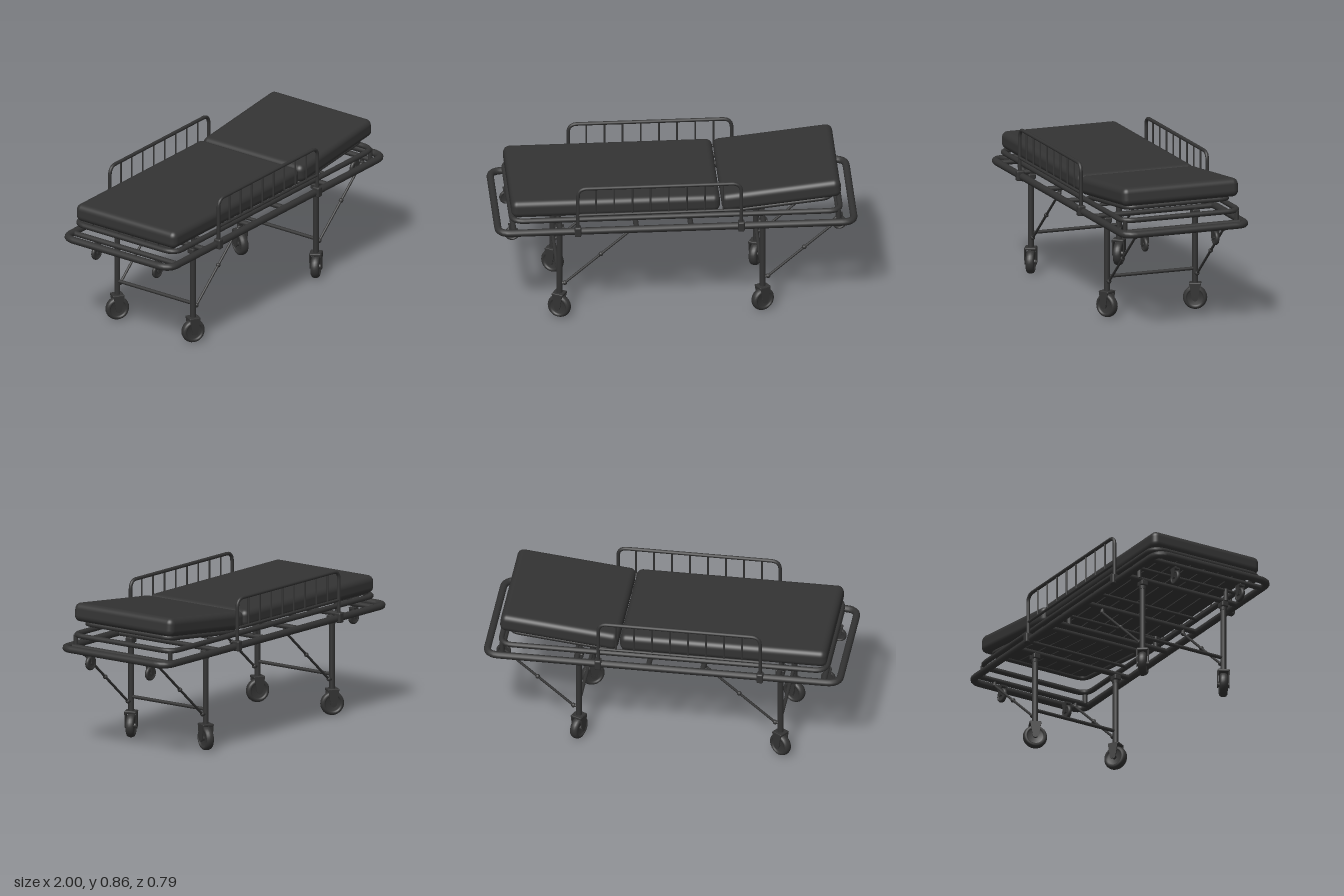
import * as THREE from 'three';
import { RoundedBoxGeometry } from 'three/addons/geometries/RoundedBoxGeometry.js';

const mat = new THREE.MeshStandardMaterial({ color: 0x333333 });
const V = (x, y, z) => new THREE.Vector3(x, y, z);

function add(parent, name, geometry, x = 0, y = 0, z = 0) {
  const m = new THREE.Mesh(geometry, mat);
  m.name = name;
  m.position.set(x, y, z);
  parent.add(m);
  return m;
}

function group(parent, name, x = 0, y = 0, z = 0) {
  const g = new THREE.Group();
  g.name = name;
  g.position.set(x, y, z);
  parent.add(g);
  return g;
}

// straight round bar between two points
function bar(parent, name, a, b, r) {
  const m = add(parent, name, new THREE.CylinderGeometry(r, r, a.distanceTo(b), 12));
  m.position.copy(a).lerp(b, 0.5);
  m.quaternion.setFromUnitVectors(V(0, 1, 0), b.clone().sub(a).normalize());
  return m;
}

// bent tube through corner points, each inner corner rounded by radius c
function bentTube(parent, name, pts, c, r, closed, segments) {
  const path = new THREE.CurvePath();
  const n = pts.length;
  const toward = (a, b) => a.clone().add(b.clone().sub(a).setLength(c));
  let last = closed ? toward(pts[0], pts[1]) : pts[0];
  for (let i = 1; i < (closed ? n + 1 : n - 1); i++) {
    const p = pts[i % n];
    const a = toward(p, pts[(i - 1) % n]), b = toward(p, pts[(i + 1) % n]);
    path.add(new THREE.LineCurve3(last, a));
    path.add(new THREE.QuadraticBezierCurve3(a, p, b));
    last = b;
  }
  if (!closed) path.add(new THREE.LineCurve3(last, pts[n - 1]));
  return add(parent, name, new THREE.TubeGeometry(path, segments, r, 12, closed));
}

function ringFrame(parent, name, x0, x1, z, y, c, r) {
  return bentTube(parent, name, [V(x0, y, -z), V(x0, y, z), V(x1, y, z), V(x1, y, -z)], c, r, true, 280);
}

// wheel of radius r and width w with rounded tread, axle along z
function wheel(parent, r, w) {
  const h = w / 2;
  const tyre = [[0.62, 0.55], [0.68, 0.9], [0.8, 1], [0.92, 0.8], [0.98, 0.42], [1, 0]];
  const half = tyre.map(([a, b]) => new THREE.Vector2(a * r, b * h));
  const low = half.map(p => new THREE.Vector2(p.x, -p.y)).slice(0, -1);
  const profile = [new THREE.Vector2(0, -h * 0.5), ...low, ...half.reverse(), new THREE.Vector2(0, h * 0.5)];
  add(parent, 'wheel', new THREE.LatheGeometry(profile, 28)).rotation.x = Math.PI / 2;
  add(parent, 'axle', new THREE.CylinderGeometry(r * 0.18, r * 0.18, w * 1.5, 12)).rotation.x = Math.PI / 2;
}

// fork cheek plates either side of the wheel, narrowing toward the axle
function fork(parent, top, width, gap, t) {
  const s = new THREE.Shape();
  const b = width * 0.28;
  s.moveTo(-width / 2, top);
  s.lineTo(-b, 0);
  s.absarc(0, 0, b, Math.PI, Math.PI * 2, false);
  s.lineTo(width / 2, top);
  const g = new THREE.ExtrudeGeometry(s, { depth: t, bevelEnabled: false, curveSegments: 8 });
  for (const side of [-1, 1]) add(parent, 'forkCheek', g, 0, 0, side * (gap + t / 2) - t / 2);
}

export function createModel() {
  const bed = new THREE.Group();
  bed.name = 'wheeledStretcher';

  // lower and upper tube frames
  ringFrame(bed, 'lowerFrame', -0.98, 0.98, 0.363, 0.577, 0.07, 0.02);
  ringFrame(bed, 'upperFrame', -0.905, 0.905, 0.345, 0.641, 0.07, 0.015);
  for (const x of [-0.895, -0.64, -0.22, 0.08, 0.48, 0.9])
    bar(bed, 'crossBar', V(x, 0.575, -0.36), V(x, 0.575, 0.36), 0.015);
  for (const s of [-1, 1]) {
    for (const x of [-0.65, 0.08]) bar(bed, 'framePost', V(x, 0.575, s * 0.28), V(x, 0.645, s * 0.28), 0.013);
    bar(bed, 'framePost', V(0.895, 0.575, s * 0.33), V(0.895, 0.641, s * 0.33), 0.013);
  }
  for (const x of [-0.65, -0.25, 0.08, 0.48])
    bar(bed, 'deckBearer', V(x, 0.637, -0.345), V(x, 0.637, 0.345), 0.009);

  // slatted deck and main mattress
  for (let i = 0; i < 7; i++)
    add(bed, 'deckSlat', new THREE.BoxGeometry(1.13, 0.01, 0.083), -0.335, 0.653, (i - 3) * 0.09);
  add(bed, 'mainMattress', new RoundedBoxGeometry(1.15, 0.1, 0.69, 5, 0.035), -0.333, 0.705, 0);

  // tilted head section
  const head = group(bed, 'headSection', 0.578, 0.737, 0);
  head.rotation.z = 0.108;
  add(head, 'headMattress', new RoundedBoxGeometry(0.66, 0.104, 0.69, 5, 0.035));
  ringFrame(head, 'headFrame', -0.31, 0.275, 0.302, -0.064, 0.06, 0.014);
  for (let i = 0; i < 7; i++)
    add(head, 'headSlat', new THREE.BoxGeometry(0.58, 0.01, 0.08), -0.02, -0.056, (i - 3) * 0.085);

  // side rails
  for (const s of [-1, 1]) {
    const rail = group(bed, 'sideRail', 0, 0, s * 0.374);
    bentTube(rail, 'railHoop', [V(-0.545, 0.56, 0), V(-0.545, 0.846, 0), V(0.355, 0.846, 0), V(0.355, 0.56, 0)], 0.05, 0.01, false, 120);
    bar(rail, 'railLowerBar', V(-0.545, 0.682, 0), V(0.355, 0.682, 0), 0.008);
    for (let i = 1; i < 9; i++) {
      const x = -0.545 + i * 0.1;
      bar(rail, 'railSpindle', V(x, 0.682, 0), V(x, 0.846, 0), 0.005);
    }
    for (const x of [-0.545, 0.355])
      add(rail, 'railClamp', new RoundedBoxGeometry(0.036, 0.058, 0.044, 2, 0.008), x, 0.583, 0);
  }

  // undercarriage: legs, braces and casters, set a touch toward the front
  const under = group(bed, 'undercarriage', 0, 0, 0.0095);
  const swivel = { '-0.64,1': -0.5, '-0.64,-1': -0.6, '0.48,1': 0.5, '0.48,-1': 1.15 };
  for (const x of [-0.64, 0.48]) {
    bar(under, 'legCrossBar', V(x, 0.23, -0.261), V(x, 0.23, 0.261), 0.01);
    for (const s of [-1, 1]) {
      const z = s * 0.261;
      bar(under, 'leg', V(x, 0.14, z), V(x, 0.57, z), 0.0165);
      add(under, 'legSocket', new RoundedBoxGeometry(0.052, 0.03, 0.042, 2, 0.006), x, 0.55, z);
      add(under, 'legCollar', new THREE.CylinderGeometry(0.021, 0.019, 0.025, 16), x, 0.53, z);

      // folding brace with hinge knobs
      const a = V(x + 0.03, 0.208, z), b = V(x + 0.42, 0.545, z);
      bar(under, 'brace', a, b, 0.007);
      bar(under, 'braceBracket', V(x, 0.205, z), a, 0.01);
      bar(under, 'braceHanger', b, V(b.x, 0.575, z), 0.011);
      for (const t of [0, 0.51, 1]) {
        const p = a.clone().lerp(b, t);
        add(under, 'braceKnob', new THREE.SphereGeometry(0.013, 14, 10), p.x, p.y, p.z);
      }

      // swivelled leg caster
      const caster = group(under, 'legCaster', x, 0.067, z);
      caster.rotation.y = swivel[x + ',' + s];
      wheel(caster, 0.067, 0.046);
      fork(caster, 0.08, 0.062, 0.028, 0.006);
      add(caster, 'forkCap', new RoundedBoxGeometry(0.066, 0.014, 0.063, 2, 0.004), 0, 0.077, 0);
    }
  }

  // small guide casters under the frame ends
  for (const x of [-0.897, 0.905]) for (const s of [-1, 1]) {
    const caster = group(under, 'guideCaster', x, 0.5, s * 0.209);
    wheel(caster, 0.041, 0.022);
    fork(caster, 0.055, 0.04, 0.014, 0.005);
    add(caster, 'forkCap', new THREE.BoxGeometry(0.04, 0.01, 0.034), 0, 0.051, 0);
    bar(caster, 'casterStem', V(0, 0.05, 0), V(0, 0.08, 0), 0.01);
  }

  return bed;
}
